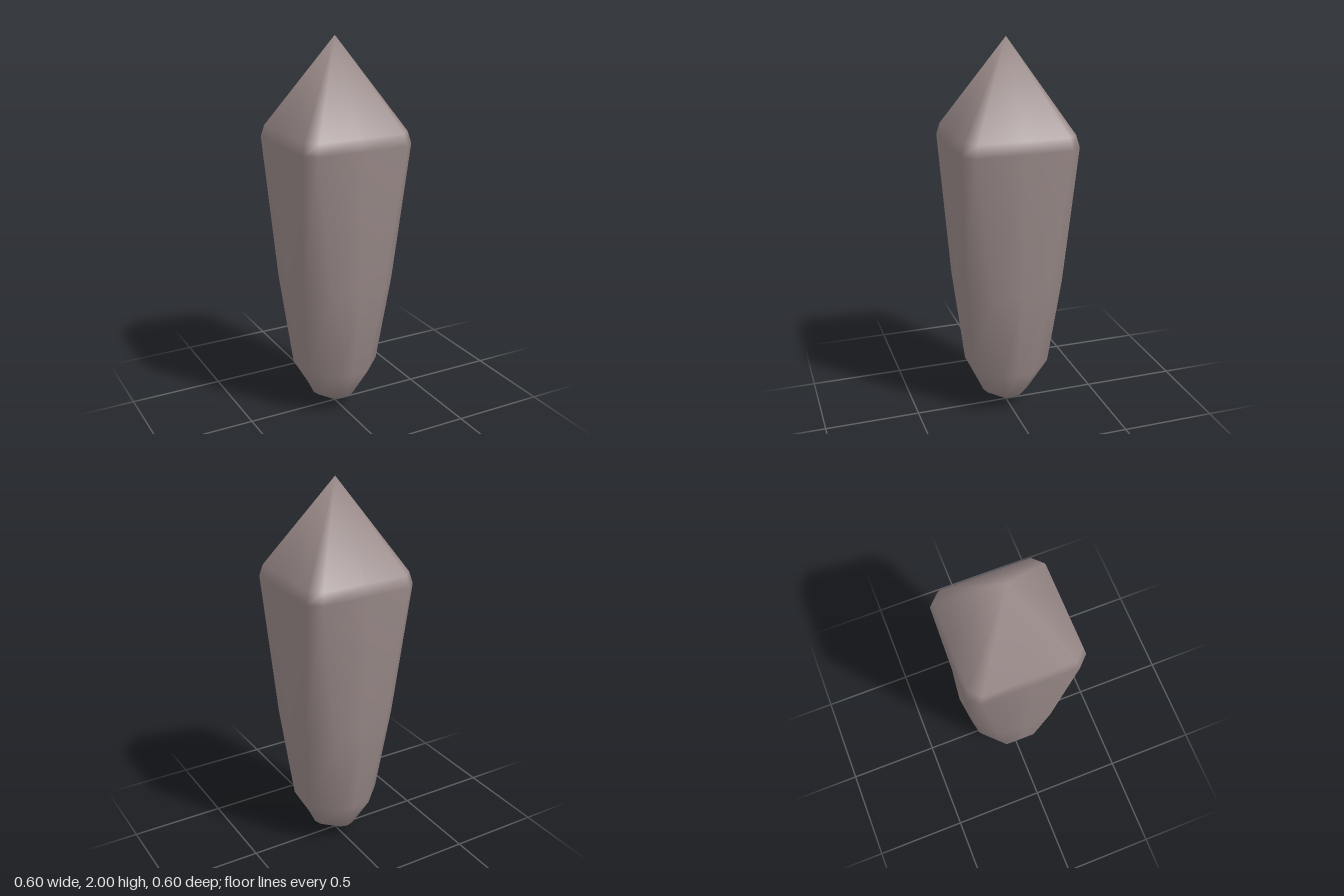
import * as THREE from 'three';

// Cross-sections: height, mid-face distance, corner distance, corner half-width
const RINGS = [
  [0.08, 0.13, 0.118, 0.04],
  [0.25, 0.21, 0.21, 0.085],
  [0.74, 0.28, 0.26, 0.15],
  [1.48, 0.30, 0.30, 0.245],
  [1.54, 0.285, 0.285, 0.232],
];

// Square outline with chamfered corners and a point in the middle of each side
function ringPoints([y, mid, far, half]) {
  const points = [];
  for (let k = 0; k < 4; k++) {
    const c = Math.round(Math.cos(k * Math.PI / 2));
    const s = Math.round(Math.sin(k * Math.PI / 2));
    for (const [u, v] of [[far, -half], [mid, 0], [far, half]]) {
      points.push(u * c - v * s, y, u * s + v * c);
    }
  }
  return points;
}

function crystalGeometry() {
  const n = 12;
  const positions = RINGS.flatMap(ringPoints);
  const bottom = RINGS.length * n;
  const top = bottom + 1;
  positions.push(0, 0, 0, 0, 2, 0);

  const index = [];
  for (let i = 0; i < n; i++) {
    const j = (i + 1) % n;
    // Sides between neighbouring rings
    for (let r = 0; r < RINGS.length - 1; r++) {
      const a = r * n, b = a + n;
      index.push(a + i, b + i, a + j, a + j, b + i, b + j);
    }
    // Blunt lower point and tall upper point
    const last = (RINGS.length - 1) * n;
    index.push(bottom, i, j);
    index.push(last + i, top, last + j);
  }

  const geometry = new THREE.BufferGeometry();
  geometry.setAttribute('position', new THREE.Float32BufferAttribute(positions, 3));
  geometry.setIndex(index);
  geometry.computeVertexNormals();
  return geometry;
}

export function createModel() {
  const stone = new THREE.MeshStandardMaterial({ color: 0x978887 });
  stone.name = 'greyish mauve stone';

  const crystal = new THREE.Mesh(crystalGeometry(), stone);
  crystal.name = 'crystal';

  const model = new THREE.Group();
  model.name = 'crystalShard';
  model.add(crystal);
  return model;
}
